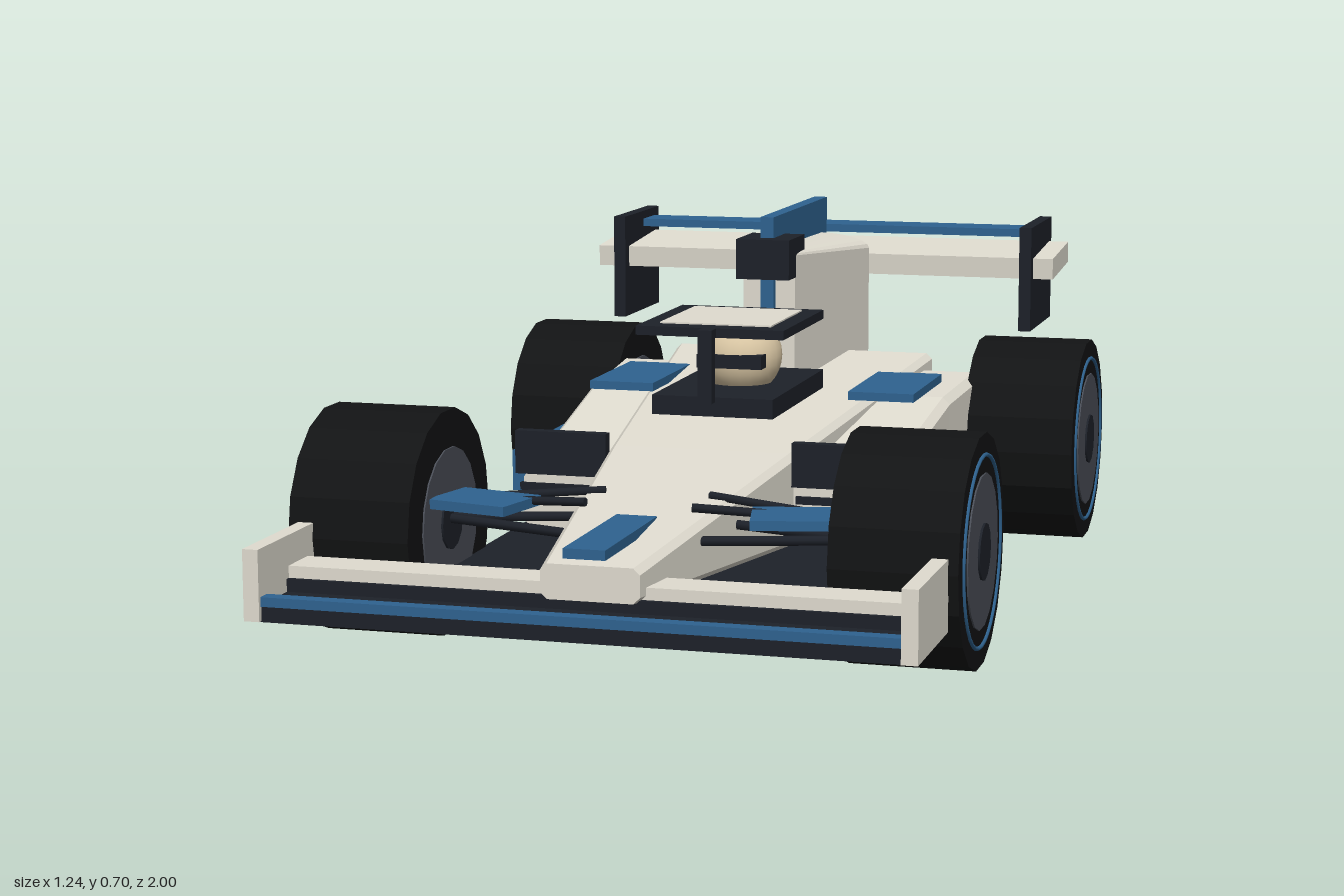
import * as THREE from 'three';

const mat = (color, flatShading = false) => new THREE.MeshStandardMaterial({ color, flatShading });
const white = mat(0xe0dcd0), whiteFlat = mat(0xe0dcd0, true), blue = mat(0x2f6390), dark = mat(0x1d2129);
const rubber = mat(0x121314, true), rimGrey = mat(0x4a4e57), cream = mat(0xdcc9a6);

export function createModel() {
  const car = new THREE.Group();
  car.name = 'raceCar';

  const add = (name, geometry, material, x = 0, y = 0, z = 0, parent = car) => {
    const mesh = new THREE.Mesh(geometry, material);
    mesh.name = name;
    mesh.position.set(x, y, z);
    parent.add(mesh);
    return mesh;
  };
  // Box given by its limits on each axis
  const box = (name, material, [x0, x1], [y0, y1], [z0, z1]) =>
    add(name, new THREE.BoxGeometry(x1 - x0, y1 - y0, z1 - z0), material,
      (x0 + x1) / 2, (y0 + y1) / 2, (z0 + z1) / 2);
  const both = (fn) => [1, -1].forEach(fn);
  const span = (s, a, b) => (s > 0 ? [a, b] : [-b, -a]);

  // Skin over rings ordered back to front, each ring counter-clockwise seen from the front
  const loft = (rings) => {
    const n = rings[0].length, pos = [];
    const tri = (...pts) => pts.forEach((p) => pos.push(...p));
    for (let i = 0; i < rings.length - 1; i++) {
      for (let j = 0; j < n; j++) {
        const k = (j + 1) % n, a = rings[i], b = rings[i + 1];
        tri(a[j], a[k], b[k]);
        tri(a[j], b[k], b[j]);
      }
    }
    const f = rings[rings.length - 1], r = rings[0];
    for (let j = 1; j < n - 1; j++) {
      tri(f[0], f[j], f[j + 1]);
      tri(r[0], r[j + 1], r[j]);
    }
    const g = new THREE.BufferGeometry();
    g.setAttribute('position', new THREE.Float32BufferAttribute(pos, 3));
    g.computeVertexNormals();
    return g;
  };
  // Rectangular ring with cut corners
  const ring = (x0, x1, y0, y1, z, c) => [
    [x1 - c, y0, z], [x1, y0 + c, z], [x1, y1 - c, z], [x1 - c, y1, z],
    [x0 + c, y1, z], [x0, y1 - c, z], [x0, y0 + c, z], [x0 + c, y0, z],
  ];
  const rod = (name, a, b, r, material) => {
    const p = new THREE.Vector3(...a), q = new THREE.Vector3(...b);
    const m = add(name, new THREE.CylinderGeometry(r, r, p.distanceTo(q), 8), material);
    m.position.copy(p).lerp(q, 0.5);
    m.quaternion.setFromUnitVectors(new THREE.Vector3(0, 1, 0), q.sub(p).normalize());
  };

  // Floor and wedge body running from nose to tail
  box('floor', dark, [-0.39, 0.39], [0.095, 0.13], [-0.9, 0.7]);
  add('body', loft([
    ring(-0.285, 0.285, 0.13, 0.395, -0.6, 0.012),
    ring(-0.185, 0.185, 0.13, 0.31, 0.2, 0.012),
    ring(-0.09, 0.09, 0.165, 0.228, 0.895, 0.012),
  ]), whiteFlat);
  box('noseStripe', blue, [-0.038, 0.038], [0.245, 0.263], [0.62, 0.925]);

  // Sidepods with inlets, panels and front winglets
  both((s) => {
    const pod = (outer, y0, y1, z) => ring(...span(s, 0.13, outer), y0, y1, z, 0.015);
    add('sidepod', loft([pod(0.4, 0.13, 0.365, -0.55), pod(0.385, 0.13, 0.35, -0.3),
      pod(0.36, 0.14, 0.255, 0.205)]), whiteFlat);
    box('inlet', dark, span(s, 0.185, 0.37), [0.25, 0.335], [0.2, 0.225]);
    box('inletSlot', dark, span(s, 0.19, 0.365), [0.215, 0.23], [0.2, 0.212]);
    box('sidePanel', blue, span(s, 0.36, 0.395), [0.205, 0.285], [-0.25, 0.17]);
    box('podPanel', blue, span(s, 0.205, 0.34), [0.36, 0.377], [-0.435, -0.155]);
    const winglet = add('frontWinglet', new THREE.BoxGeometry(0.165, 0.018, 0.13), blue, s * 0.295, 0.27, 0.61);
    winglet.rotation.y = s * 0.22;
    // Suspension arms
    [[0.55, 0.1], [-0.65, 0.15]].forEach(([z, x]) => {
      both((d) => {
        rod('suspensionArm', [s * x, 0.225, z + d * 0.09], [s * 0.4, 0.225, z], 0.009, dark);
        rod('suspensionArm', [s * x, 0.28, z + d * 0.06], [s * 0.4, 0.26, z], 0.008, dark);
      });
    });
  });

  // Wheels: tyre, coloured ring, rim and hub
  for (const [end, z] of [['front', 0.55], ['rear', -0.65]]) {
    both((s) => {
      const wheel = new THREE.Group();
      wheel.name = end + 'Wheel';
      wheel.position.set(s * 0.5, 0.217, z);
      wheel.rotation.z = -s * Math.PI / 2;
      car.add(wheel);
      add('tyre', new THREE.CylinderGeometry(0.212, 0.212, 0.23, 18), rubber, 0, 0, 0, wheel);
      const band = add('tyreRing', new THREE.TorusGeometry(0.172, 0.004, 6, 36), blue, 0, 0.116, 0, wheel);
      band.rotation.x = Math.PI / 2;
      add('rim', new THREE.CylinderGeometry(0.14, 0.14, 0.236, 18), rimGrey, 0, 0, 0, wheel);
      add('hub', new THREE.CylinderGeometry(0.052, 0.052, 0.244, 12), dark, 0, 0, 0, wheel);
    });
  }

  // Cockpit, driver helmet and canopy
  box('cockpitRim', dark, [-0.122, 0.122], [0.362, 0.4], [-0.285, 0.125]);
  add('helmet', new THREE.SphereGeometry(0.084, 24, 16), cream, 0, 0.455, -0.085);
  box('visor', dark, [-0.066, 0.066], [0.438, 0.465], [-0.075, 0.002]);
  box('canopyPost', dark, [-0.014, 0.014], [0.395, 0.53], [0.152, 0.178]);
  box('canopyTip', dark, [-0.014, 0.014], [0.52, 0.538], [0.13, 0.178]);
  box('canopyFrame', dark, [-0.148, 0.148], [0.52, 0.538], [-0.178, 0.145]);
  box('canopyPanel', white, [-0.112, 0.112], [0.522, 0.541], [-0.145, 0.1]);

  // Engine cover with rounded sides, its fin and camera
  const cover = (w, y1, z) => {
    const r = w * 0.75, pts = [[w, 0.2, z]];
    for (let i = 0; i <= 12; i++) {
      const a = (i / 12) * Math.PI;
      pts.push([Math.cos(a) * w, y1 - r * 0.35 + Math.sin(a) * r * 0.35, z]);
    }
    return [...pts, [-w, 0.2, z]];
  };
  add('engineCover', loft([cover(0.12, 0.637, -0.71), cover(0.055, 0.645, -0.31)]), white);
  box('fin', blue, [-0.014, 0.014], [0.52, 0.71], [-0.755, -0.292]);
  box('camera', dark, [-0.056, 0.056], [0.585, 0.667], [-0.385, -0.255]);

  // Front wing
  box('frontWingPlane', dark, [-0.57, 0.57], [0.115, 0.145], [0.755, 0.99]);
  box('frontWingStep', dark, [-0.57, 0.57], [0.14, 0.168], [0.755, 0.88]);
  box('frontWingFlap', white, [-0.57, 0.57], [0.165, 0.19], [0.785, 0.87]);
  box('frontWingStripe', blue, [-0.57, 0.57], [0.143, 0.16], [0.965, 0.993]);
  both((s) => box('frontEndplate', white, span(s, 0.568, 0.597), [0.117, 0.245], [0.755, 1]));

  // Rear wing on a single pillar, with tail light
  const plane = add('rearWingPlane', new THREE.BoxGeometry(1.03, 0.045, 0.205), white, 0, 0.572, -0.87);
  plane.rotation.x = 0.08;
  box('rearWingFlap', blue, [-0.45, 0.45], [0.62, 0.637], [-0.97, -0.88]);
  both((s) => box('rearEndplate', dark, span(s, 0.446, 0.472), [0.43, 0.655], [-1, -0.74]));
  box('rearPillar', dark, [-0.022, 0.022], [0.12, 0.56], [-0.875, -0.82]);
  box('tailLight', blue, [-0.025, 0.025], [0.15, 0.195], [-0.94, -0.928]);

  return car;
}
